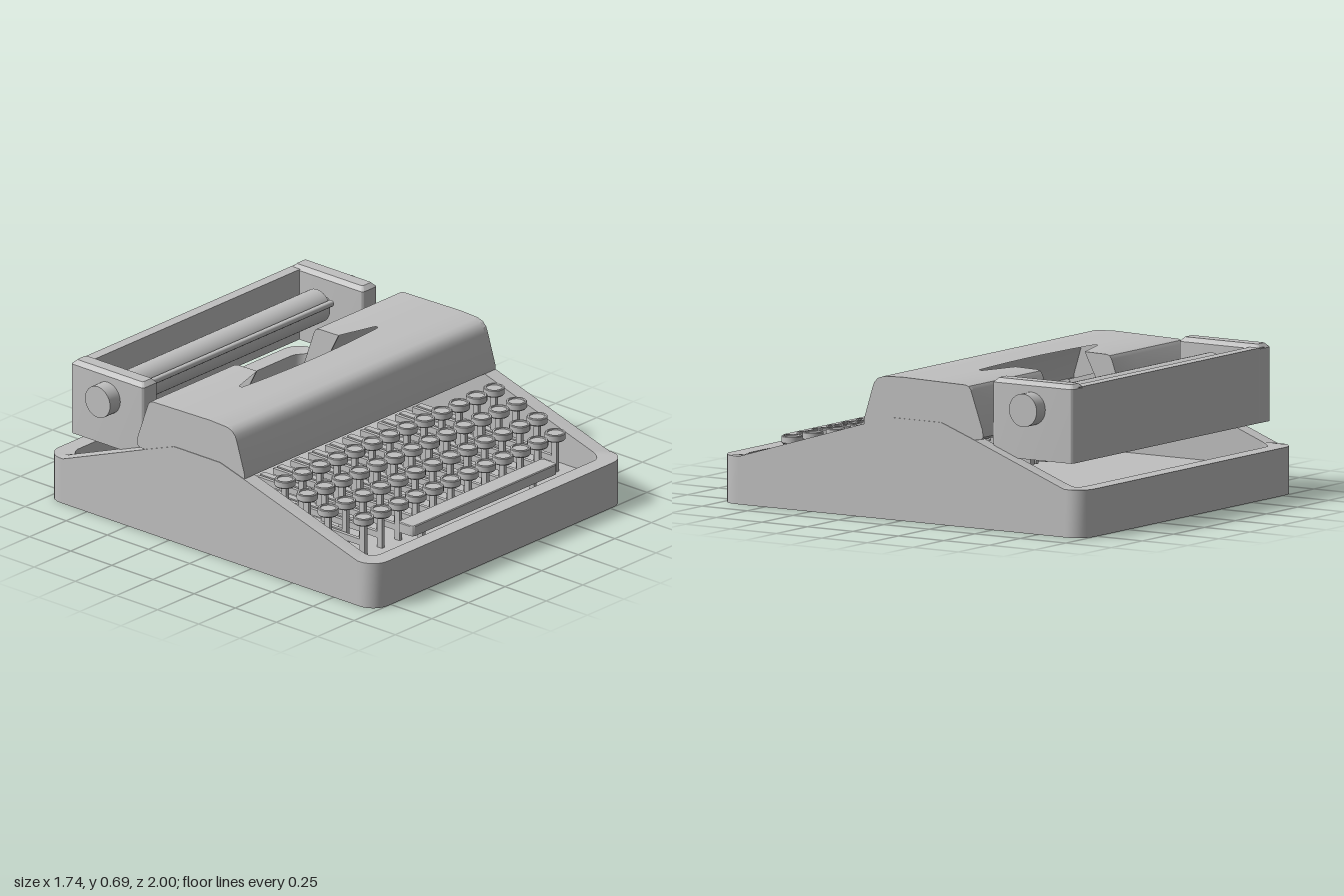
import * as THREE from 'three';
import { toCreasedNormals } from 'three/addons/utils/BufferGeometryUtils.js';

const grey = new THREE.MeshStandardMaterial({ color: 0xc0c0c0, side: THREE.DoubleSide });
grey.name = 'light grey';

function add(parent, name, geometry, x = 0, y = 0, z = 0) {
  const mesh = new THREE.Mesh(geometry, grey);
  mesh.name = name;
  mesh.position.set(x, y, z);
  parent.add(mesh);
  return mesh;
}

// Skin a surface over a list of cross-sections of equal length
function skin(rings, closed) {
  const n = rings[0].length, pos = rings.flat(2), index = [];
  for (let j = 0; j < rings.length - 1; j++) {
    for (let i = 0; i < (closed ? n : n - 1); i++) {
      const k = (i + 1) % n;
      const a = j * n + i, b = j * n + k, c = a + n, d = b + n;
      index.push(a, c, b, b, c, d);
    }
  }
  const g = new THREE.BufferGeometry();
  g.setAttribute('position', new THREE.Float32BufferAttribute(pos, 3));
  g.setIndex(index);
  return toCreasedNormals(g, 0.6);
}

// Rounded rectangle in plan, with optional extra points along its long sides
function plan(hx, hz, r, height, stops = []) {
  const pts = [];
  const corner = (sx, sz, start) => {
    for (let i = 0; i <= 6; i++) {
      const a = start + (i / 6) * Math.PI / 2;
      pts.push([sx * (hx - r) + r * Math.cos(a), sz * (hz - r) + r * Math.sin(a)]);
    }
  };
  const clamp = (z) => Math.max(-hz + r + 0.001, Math.min(hz - r - 0.001, z));
  stops.forEach((z) => pts.push([hx, clamp(z)]));
  corner(1, 1, 0);
  corner(-1, 1, Math.PI / 2);
  [...stops].reverse().forEach((z) => pts.push([-hx, clamp(z)]));
  corner(-1, -1, Math.PI);
  corner(1, -1, Math.PI * 1.5);
  return pts.map(([x, z]) => [x, typeof height === 'number' ? height : height(z), z]);
}
const centre = (ring, y) => ring.map(() => [0, y, 0]);

// Solid block with rounded plan and chamfered top
function block(hx, hz, r, h, chamfer) {
  const rings = [plan(hx, hz, r, 0), plan(hx, hz, r, h - chamfer),
    plan(hx - chamfer, hz - chamfer, r * 0.6, h)];
  return skin([centre(rings[0], 0), ...rings, centre(rings[0], h)], true);
}

// Height of the case rim along its depth
const rim = [[-1, 0.22], [-0.895, 0.22], [-0.4, 0.405], [-0.22, 0.47], [0.06, 0.47],
  [0.2, 0.43], [0.895, 0.22], [1, 0.22]];
function rimHeight(z) {
  for (let i = 1; i < rim.length; i++) {
    if (z <= rim[i][0]) {
      const [z0, y0] = rim[i - 1], [z1, y1] = rim[i];
      return y0 + (y1 - y0) * (z - z0) / (z1 - z0);
    }
  }
  return 0.22;
}

// Slab cut from a (z, y) outline, standing across x
function sidePlate(points, thickness) {
  const shape = new THREE.Shape(points.map(([z, y]) => new THREE.Vector2(z, y)));
  const g = new THREE.ExtrudeGeometry(shape, { depth: thickness, bevelEnabled: false });
  return g.rotateY(-Math.PI / 2).translate(thickness / 2, 0, 0);
}

const rod = (radius, length, sides = 32) =>
  toCreasedNormals(new THREE.CylinderGeometry(radius, radius, length, sides).rotateZ(Math.PI / 2), 0.6);

const FLOOR = 0.12;

function buildCase(root) {
  const stops = rim.slice(1, -1).map((p) => p[0]);
  const outer0 = plan(0.86, 1, 0.09, 0, stops);
  const outer1 = plan(0.86, 1, 0.09, rimHeight, stops);
  const inner1 = plan(0.785, 0.92, 0.06, rimHeight, stops);
  const inner0 = plan(0.785, 0.92, 0.06, FLOOR, stops);
  add(root, 'case', skin([centre(outer0, 0), outer0, outer1, inner1, inner0, centre(inner0, FLOOR)], true));
}

function buildCover(root) {
  const cover = new THREE.Group();
  cover.name = 'cover';
  root.add(cover);
  const W = 0.857, slot = 0.465, notch = 0.278;
  const topY = (z) => 0.66 + z * 0.02;
  const front = [[0.19, 0.42], [0.208, 0.43], [0.207, 0.45], [0.16, 0.6], [0.15, 0.625],
    [0.13, 0.645], [0.1, 0.655], [0, 0.66]];
  const rear = [[-0.35, 0.653], [-0.368, 0.648], [-0.38, 0.632], [-0.445, 0.45],
    [-0.447, 0.42], [-0.435, 0.408], [-0.4, 0.405]];

  // Front sheet, ending at the curved front edge of the type slot
  const xs = [-W, -slot - 0.001];
  for (let i = -8; i <= 8; i++) xs.push(slot * i / 8);
  xs.push(slot + 0.001, W);
  const slotFront = (x) => (Math.abs(x) > slot ? -0.175 : -0.135 - 0.022 * (x / slot) ** 2);
  add(cover, 'coverFront', skin(xs.map((x) => {
    const z = slotFront(x);
    return [...front, [z, topY(z)]].map(([pz, py]) => [x, py, pz]);
  }), false));

  // Rear sheets on either side of the notch
  for (const s of [-1, 1]) {
    const cols = [notch, slot, W].map((x) => x * s).sort((a, b) => a - b);
    add(cover, 'coverRear', skin(cols.map((x) => {
      const z = Math.abs(x) < slot ? -0.232 : -0.175;
      return [[z, topY(z)], ...rear].map(([pz, py]) => [x, py, pz]);
    }), false));
    add(cover, 'notchWall', sidePlate([[-0.232, topY(-0.232)], ...rear, [-0.36, 0.41]], 0.006), s * (notch + 0.003));
    add(cover, 'coverEnd', sidePlate([...front, ...rear], 0.02), s * (W - 0.01));
  }
}

function buildCarriage(root) {
  const carriage = new THREE.Group();
  carriage.name = 'carriage';
  root.add(carriage);
  for (const s of [-1, 1]) {
    add(carriage, 'carriageArm', block(0.05, 0.22, 0.015, 0.36, 0.02), s * 0.75, 0.33, -0.68);
    add(carriage, 'rollerKnob', rod(0.076, 0.07), s * 0.835, 0.565, -0.675);
  }
  add(carriage, 'backPanel', new THREE.BoxGeometry(1.5, 0.345, 0.053), 0, 0.5025, -0.872);
  add(carriage, 'roller', rod(0.079, 1.28, 40), -0.004, 0.565, -0.68);
  add(carriage, 'rollerShaft', rod(0.02, 1.42, 16), 0, 0.565, -0.68);
  add(carriage, 'paperBar', rod(0.016, 1.28, 12), -0.004, 0.6, -0.594);
}

function buildKeyboard(root) {
  const keyboard = new THREE.Group();
  keyboard.name = 'keyboard';
  root.add(keyboard);
  // Round key cap with raised rim
  const profile = [[0, -0.035], [0.044, -0.035], [0.048, -0.03], [0.048, -0.003], [0.045, 0],
    [0.037, 0], [0.036, -0.006], [0, -0.006]].map(([r, y]) => new THREE.Vector2(r, y));
  const cap = toCreasedNormals(new THREE.LatheGeometry(profile, 24), 0.6);
  const rows = [
    { z: 0.3, x: -0.685, top: 0.405, count: 13 },
    { z: 0.435, x: -0.685, top: 0.375, count: 13 },
    { z: 0.575, x: -0.7, top: 0.345, count: 13 },
    { z: 0.71, x: -0.61, top: 0.312, count: 12 },
  ];
  for (const { z, x, top, count } of rows) {
    const stemHeight = top - 0.03 - FLOOR;
    const stem = new THREE.BoxGeometry(0.018, stemHeight, 0.03);
    const lever = new THREE.BoxGeometry(0.018, 0.03, z + 0.15);
    for (let i = 0; i < count; i++) {
      const kx = x + i * 0.119;
      add(keyboard, 'keyCap', cap, kx, top, z);
      add(keyboard, 'keyStem', stem, kx, FLOOR + stemHeight / 2, z);
      add(keyboard, 'keyLever', lever, kx, 0.18, (z - 0.15) / 2);
    }
  }
  add(keyboard, 'spaceBar', block(0.495, 0.048, 0.02, 0.05, 0.004), 0.002, 0.225, 0.858);
  for (const s of [-1, 1]) {
    add(keyboard, 'spaceBarPost', new THREE.BoxGeometry(0.02, 0.11, 0.03), s * 0.38, 0.175, 0.858);
  }
}

export function createModel() {
  const root = new THREE.Group();
  root.name = 'typewriter';
  buildCase(root);
  buildCover(root);
  buildCarriage(root);
  buildKeyboard(root);
  return root;
}
